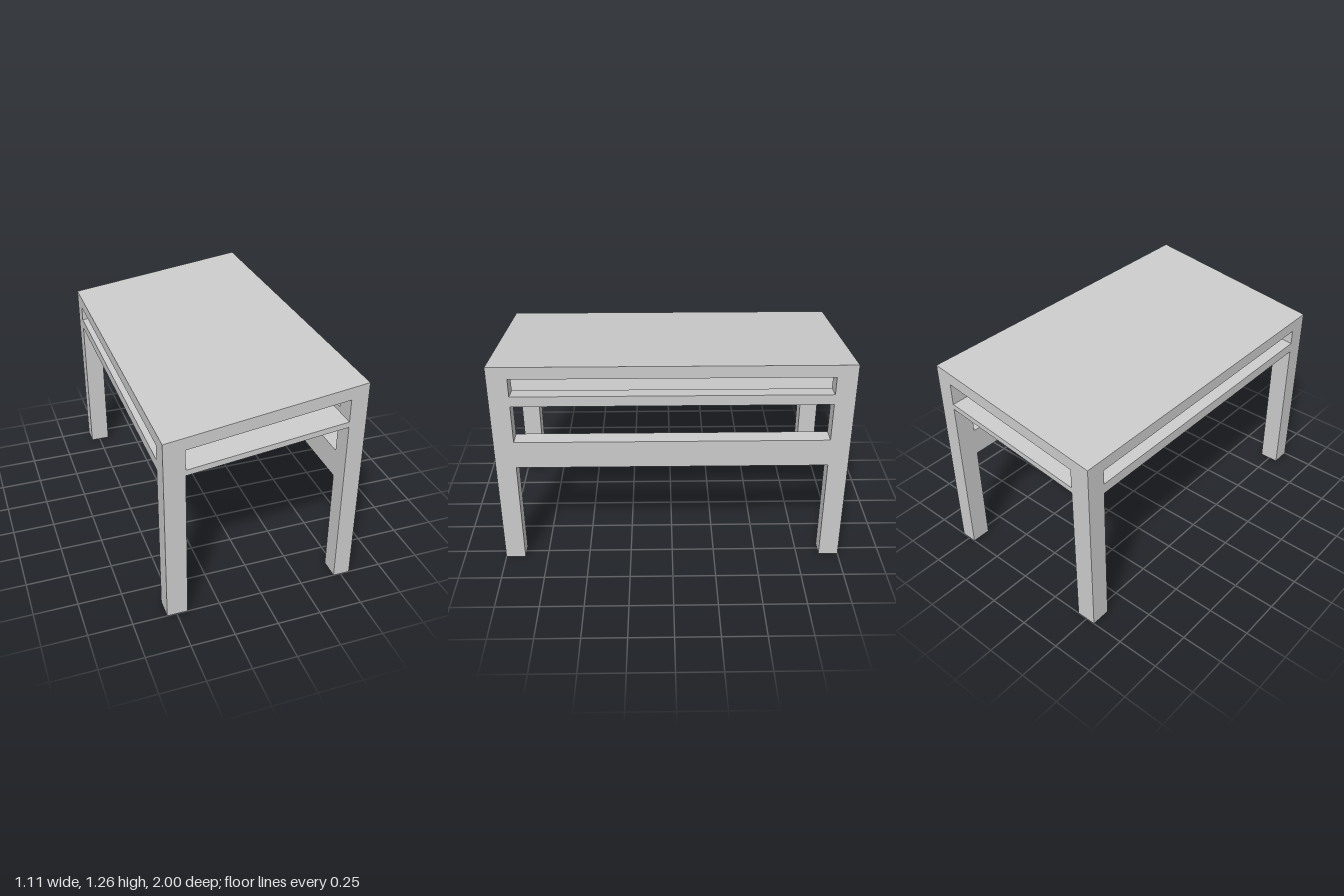
import * as THREE from 'three';

const OUT = 0.555, IN_R = 0.457, IN_L = -0.437; // outer faces and inner leg faces
const END = 1, IN_Z = 0.885;

// Heights of the sloping surfaces across the width
const slabTop = x => 1.193 + 0.129 * x;
const slabBottom = x => slabTop(x) - 0.072;
const shelfBottom = x => 0.963 + 0.114 * x;
const shelfTop = x => shelfBottom(x) + 0.033;
const railTop = x => shelfBottom(x) + 0.061;

export function createModel() {
  const group = new THREE.Group();
  const material = new THREE.MeshStandardMaterial({ color: 0xcccccc, flatShading: true });

  // Prism between two heights (functions of x), from x0 to x1 and z0 to z1
  function prism(name, x0, x1, z0, z1, bottom, top) {
    const shape = new THREE.Shape([
      new THREE.Vector2(x0, bottom(x0)), new THREE.Vector2(x1, bottom(x1)),
      new THREE.Vector2(x1, top(x1)), new THREE.Vector2(x0, top(x0)),
    ]);
    const geometry = new THREE.ExtrudeGeometry(shape, { depth: z1 - z0, bevelEnabled: false });
    geometry.translate(0, 0, z0);
    const mesh = new THREE.Mesh(geometry, material);
    mesh.name = name;
    group.add(mesh);
  }

  // Sloping top and the thin shelf below it
  prism('tableTop', -OUT, OUT, -END, END, slabBottom, slabTop);
  prism('shelf', IN_L, IN_R, -END, END, shelfBottom, shelfTop);

  // Legs and raised shelf rails on both long sides
  for (const [side, x0, x1] of [['right', -OUT, IN_L], ['left', IN_R, OUT]]) {
    prism(side + 'FrontLeg', x0, x1, IN_Z, END, () => 0, slabBottom);
    prism(side + 'BackLeg', x0, x1, -END, -IN_Z, () => 0, slabBottom);
    prism(side + 'ShelfRail', x0, x1, -IN_Z, IN_Z, shelfBottom, railTop);
  }

  // Stretcher on the high side only
  prism('stretcher', IN_R, OUT, -IN_Z, IN_Z, () => 0.635, () => 0.8);

  return group;
}
